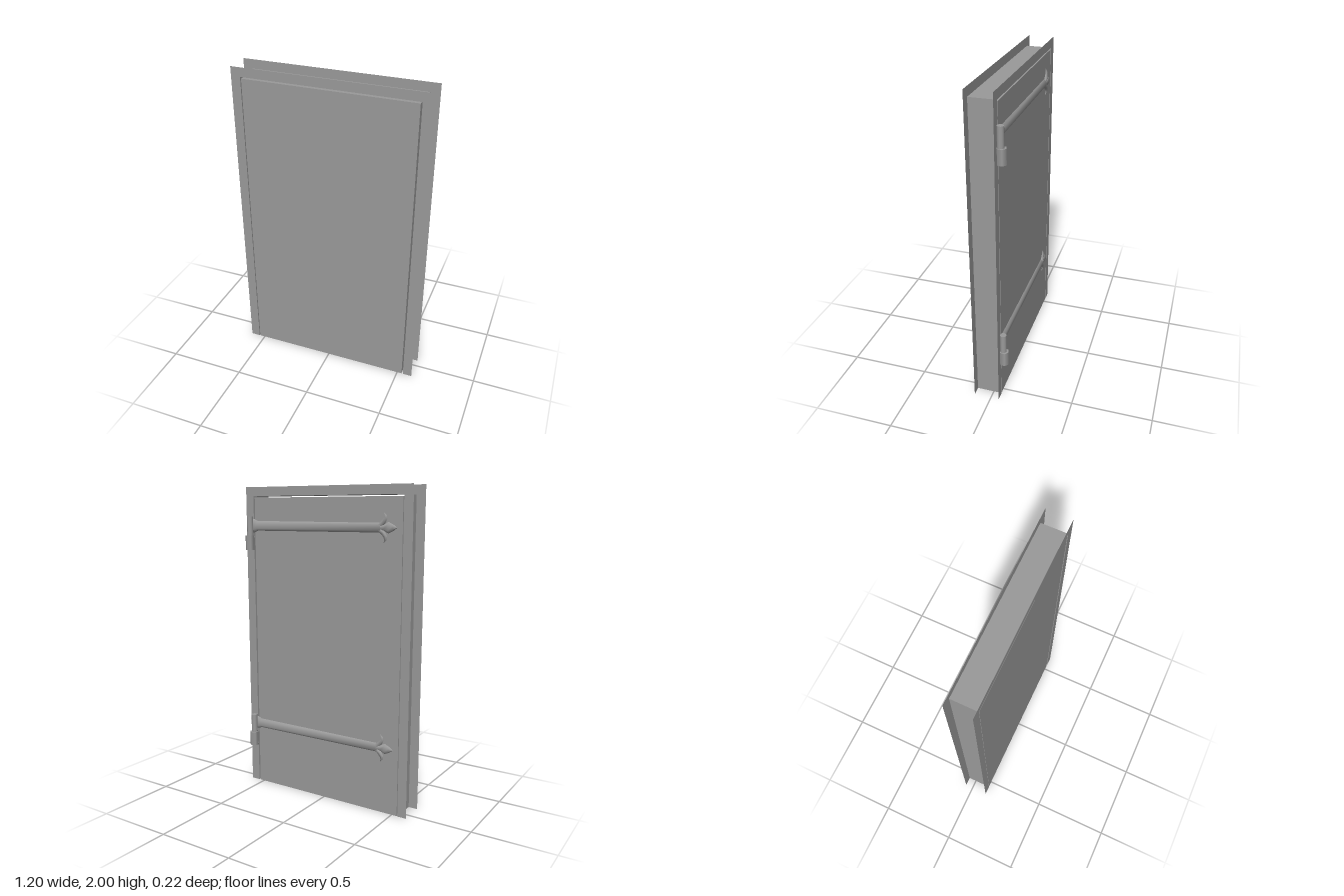
import * as THREE from 'three';

const GREY = 0x9a9a9a;
const solid = new THREE.MeshStandardMaterial({ color: GREY });
const thin = new THREE.MeshStandardMaterial({ color: GREY, side: THREE.DoubleSide });

const FRONT = 0.108, BACK = -0.052;   // planes of the two frame faces
const JAMB = 0.541, HEAD = 1.943;     // opening half width and height

function add(parent, name, geometry, material, x = 0, y = 0, z = 0) {
  const mesh = new THREE.Mesh(geometry, material);
  mesh.name = name;
  mesh.position.set(x, y, z);
  parent.add(mesh);
  return mesh;
}

// Raised ironwork with bevelled edges, facing -z; stations are [x, y, halfWidth, height]
function ridge(stations) {
  const profile = [[-1, 0], [-0.55, 1], [0.55, 1], [1, 0]];
  const pos = [], idx = [], row = profile.length;
  stations.forEach(([x, y, w, h], i) => {
    const a = stations[Math.max(i - 1, 0)];
    const b = stations[Math.min(i + 1, stations.length - 1)];
    const len = Math.hypot(b[0] - a[0], b[1] - a[1]);
    const nx = -(b[1] - a[1]) / len, ny = (b[0] - a[0]) / len;
    profile.forEach(([s, t], j) => {
      pos.push(x + nx * s * w, y + ny * s * w, -t * h);
      if (i && j) {
        const c = i * row + j, p = c - row;
        idx.push(p - 1, p, c - 1, p, c, c - 1);
      }
    });
  });
  const g = new THREE.BufferGeometry();
  g.setAttribute('position', new THREE.Float32BufferAttribute(pos, 3));
  g.setIndex(idx);
  g.computeVertexNormals();
  return g;
}

// Flat U-shaped trim around the opening, down to the floor
function trimGeometry() {
  const outline = [[-0.6, 0], [-JAMB, 0], [-JAMB, HEAD], [JAMB, HEAD],
    [JAMB, 0], [0.6, 0], [0.6, 2], [-0.6, 2]];
  return new THREE.ShapeGeometry(new THREE.Shape(outline.map(p => new THREE.Vector2(...p))));
}

// Box without its underside
function openBottomBox(w, h, d) {
  const g = new THREE.BoxGeometry(w, h, d);
  g.setIndex([...g.index.array].filter((_, i) => i < 18 || i >= 24));
  g.clearGroups();
  return g;
}

// Pin barrel, long strap and three-leaf finial; y = 0 is the strap centreline
function makeHinge() {
  const hinge = new THREE.Group();
  add(hinge, 'lowerKnuckle', new THREE.CylinderGeometry(0.0295, 0.0295, 0.093, 6, 1, false, 0.87),
    solid, 0.556, -0.1085, -0.078);
  add(hinge, 'upperKnuckle', new THREE.CylinderGeometry(0.02, 0.02, 0.122, 12), solid, 0.556, -0.001, -0.073);
  const z = BACK + 0.001;
  add(hinge, 'strap', ridge([[0.556, 0, 0.045, 0.018], [0.535, 0, 0.042, 0.016],
    [0.51, 0, 0.031, 0.013], [-0.395, 0, 0.028, 0.013]]), thin, 0, 0, z);
  add(hinge, 'finialTip', ridge([[-0.385, 0, 0.014, 0.013], [-0.415, 0, 0.018, 0.013],
    [-0.445, 0, 0.033, 0.013], [-0.475, 0, 0.019, 0.012], [-0.5, 0, 0.001, 0.001]]), thin, 0, 0, z);
  for (const s of [1, -1]) {
    add(hinge, 'finialLeaf', ridge([[-0.385, s * 0.008, 0.014, 0.013], [-0.41, s * 0.03, 0.014, 0.013],
      [-0.425, s * 0.052, 0.012, 0.011], [-0.425, s * 0.07, 0.007, 0.008],
      [-0.415, s * 0.086, 0.001, 0.001]]), thin, 0, 0, z);
  }
  return hinge;
}

export function createModel() {
  const model = new THREE.Group();
  model.name = 'door';

  // Frame: front and back trim joined by a thin lining
  const frame = new THREE.Group();
  frame.name = 'frame';
  model.add(frame);
  add(frame, 'frontTrim', trimGeometry(), thin, 0, 0, FRONT);
  add(frame, 'backTrim', trimGeometry(), thin, 0, 0, BACK).rotation.y = Math.PI;
  const depth = FRONT - BACK, mid = (FRONT + BACK) / 2;
  for (const s of [1, -1]) {
    add(frame, s > 0 ? 'leftJamb' : 'rightJamb', new THREE.PlaneGeometry(depth, HEAD), thin,
      s * JAMB, HEAD / 2, mid).rotation.y = s * Math.PI / 2;
  }
  add(frame, 'headLining', new THREE.PlaneGeometry(2 * JAMB, depth), thin, 0, HEAD, mid).rotation.x = -Math.PI / 2;

  // Hollow door leaf, open below, leaving a narrow gap inside the frame
  add(model, 'leaf', openBottomBox(1.067, 1.933, depth - 0.002), thin, -0.0025, 1.933 / 2, mid);

  // Strap hinges on the back
  [['lowerHinge', 0.42], ['upperHinge', 1.755]].forEach(([name, y]) => {
    const hinge = makeHinge();
    hinge.name = name;
    hinge.position.y = y;
    model.add(hinge);
  });
  return model;
}
